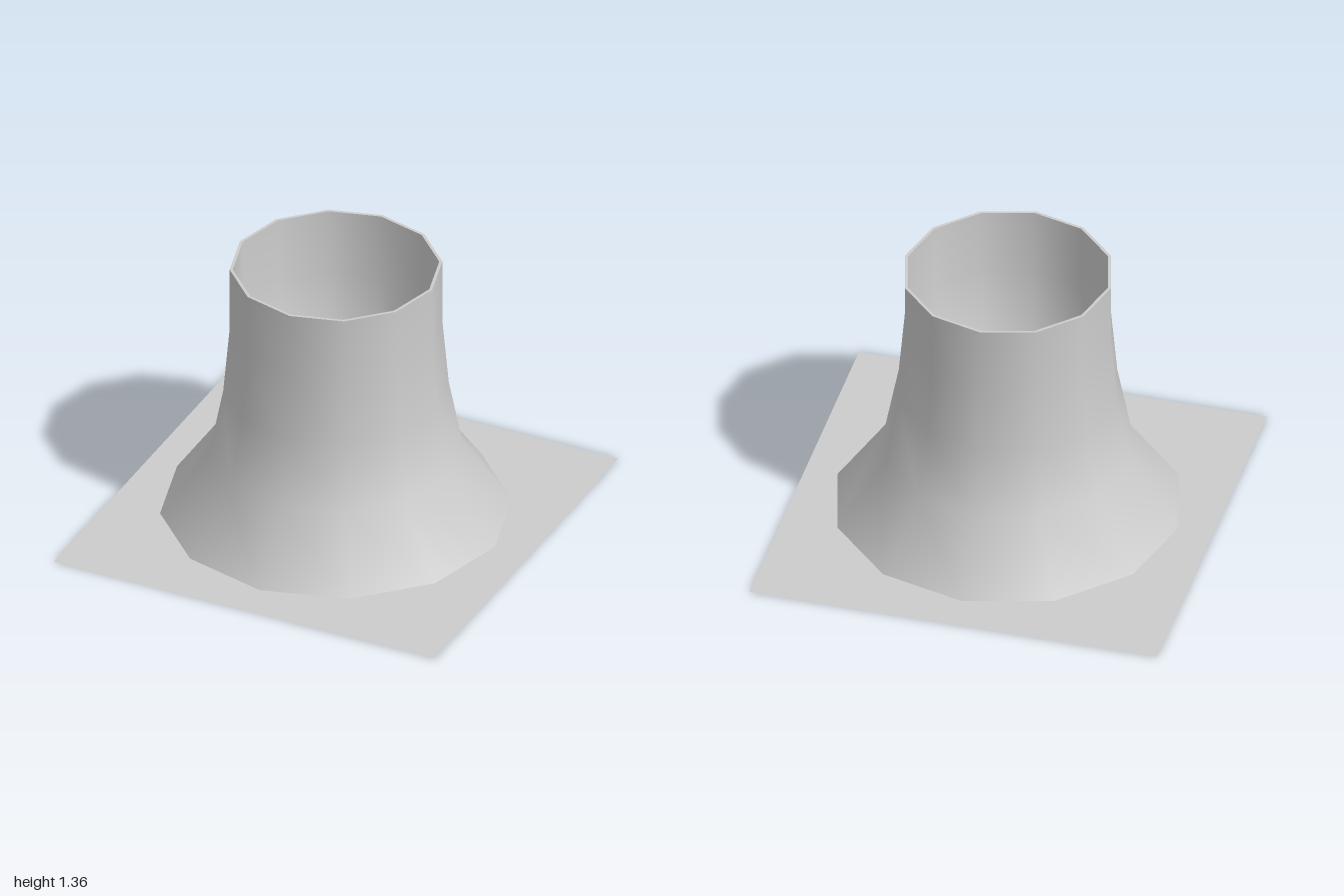
import * as THREE from 'three';

const SIDES = 12;

export function createModel() {
  const group = new THREE.Group();
  const grey = new THREE.MeshStandardMaterial({ color: 0xcccccc, side: THREE.DoubleSide });
  grey.name = 'light grey';

  const add = (name, geometry) => {
    const mesh = new THREE.Mesh(geometry, grey);
    mesh.name = name;
    group.add(mesh);
    return mesh;
  };
  const lathe = (profile) =>
    new THREE.LatheGeometry(profile.map(([r, y]) => new THREE.Vector2(r, y)), SIDES);

  // Flat square base sheet
  add('basePlate', new THREE.PlaneGeometry(2, 2).rotateX(-Math.PI / 2));

  // Flared outer wall, hanging just above the base
  add('outerWall', lathe([[0.835, 0.02], [0.6, 0.355], [0.535, 0.69], [0.505, 1.025], [0.505, 1.36]]));

  // Narrow flat rim joining the two walls
  add('rim', lathe([[0.505, 1.36], [0.49, 1.36]]));

  // Inner passage, narrowing to a throat and opening again at the base
  add('innerWall', lathe([[0.49, 1.36], [0.485, 1.025], [0.44, 0.69], [0.293, 0.355], [0.49, 0.02], [0.49, 0.003]]));

  return group;
}
